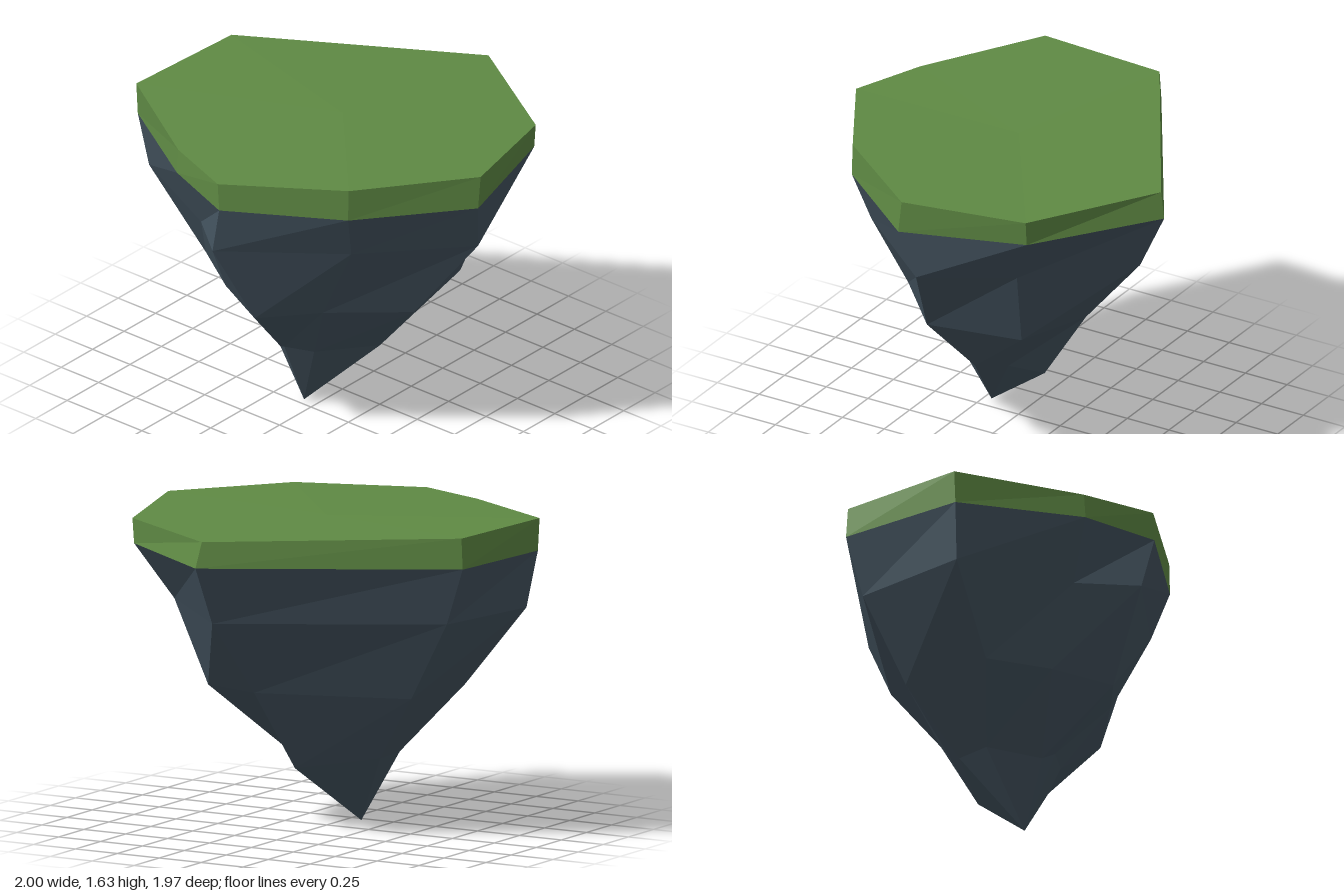
import * as THREE from 'three';

// Eight-sided cross-sections [x, y, z], listed from the left side round by the front
const grassTop = [
  [1, 1.63, 0.09], [0.58, 1.63, 0.64], [-0.01, 1.605, 0.98], [-0.4, 1.605, 0.83],
  [-1, 1.62, 0.45], [-0.96, 1.62, -0.26], [0.17, 1.605, -0.96], [0.83, 1.605, -0.55],
];
const grassBase = [
  [1, 1.455, 0.11], [0.58, 1.46, 0.645], [0, 1.455, 0.98], [-0.4, 1.475, 0.84],
  [-0.99, 1.45, 0.45], [-0.97, 1.46, -0.265], [0.19, 1.47, -0.99], [0.82, 1.475, -0.55],
];
const rockUpper = [
  [0.94, 1.185, 0.04], [0.53, 1.21, 0.56], [-0.07, 1.18, 0.95], [-0.34, 1.16, 0.72],
  [-0.94, 1.155, 0.42], [-0.86, 1.16, -0.24], [0.18, 1.16, -0.84], [0.67, 1.18, -0.4],
];
const rockMiddle = [
  [0.62, 0.74, 0.17], [0.28, 0.75, 0.49], [0.01, 0.715, 0.71], [-0.31, 0.73, 0.56],
  [-0.61, 0.735, 0.36], [-0.6, 0.735, -0.16], [0.14, 0.75, -0.49], [0.51, 0.735, -0.33],
];
const rockLower = [
  [0.31, 0.395, 0.07], [0.08, 0.38, 0.32], [-0.06, 0.39, 0.39], [-0.12, 0.355, 0.35],
  [-0.34, 0.39, 0.16], [-0.33, 0.38, -0.02], [0.07, 0.32, -0.2], [0.18, 0.37, -0.05],
];
const tip = [-0.08, 0, 0.21];
const middle = [0, 1.615, 0];

// Faceted skin between successive rings, optionally closed by a point above or below
function facetedSkin(rings, topPoint, bottomPoint) {
  const p = [];
  const tri = (...corners) => corners.forEach((c) => p.push(...c));
  const n = rings[0].length;
  for (let i = 0; i < n; i++) {
    const j = (i + 1) % n;
    for (let r = 0; r < rings.length - 1; r++) {
      const up = rings[r], low = rings[r + 1];
      tri(up[j], low[j], up[i]);
      tri(low[j], low[i], up[i]);
    }
    if (topPoint) tri(topPoint, rings[0][j], rings[0][i]);
    const last = rings[rings.length - 1];
    if (bottomPoint) tri(last[j], bottomPoint, last[i]);
  }
  const g = new THREE.BufferGeometry();
  g.setAttribute('position', new THREE.Float32BufferAttribute(p, 3));
  g.computeVertexNormals();
  return g;
}

export function createModel() {
  const grass = new THREE.MeshStandardMaterial({ color: 0x5f8a44 });
  grass.name = 'grass green';
  const rock = new THREE.MeshStandardMaterial({ color: 0x445460 });
  rock.name = 'slate rock';

  const island = new THREE.Group();
  island.name = 'floatingIsland';

  // Grass slab
  const turf = new THREE.Mesh(facetedSkin([grassTop, grassBase], middle, null), grass);
  turf.name = 'grassCap';

  // Rock tapering to a point
  const rings = [grassBase, rockUpper, rockMiddle, rockLower];
  const base = new THREE.Mesh(facetedSkin(rings, null, tip), rock);
  base.name = 'rockBase';

  island.add(turf, base);
  return island;
}
